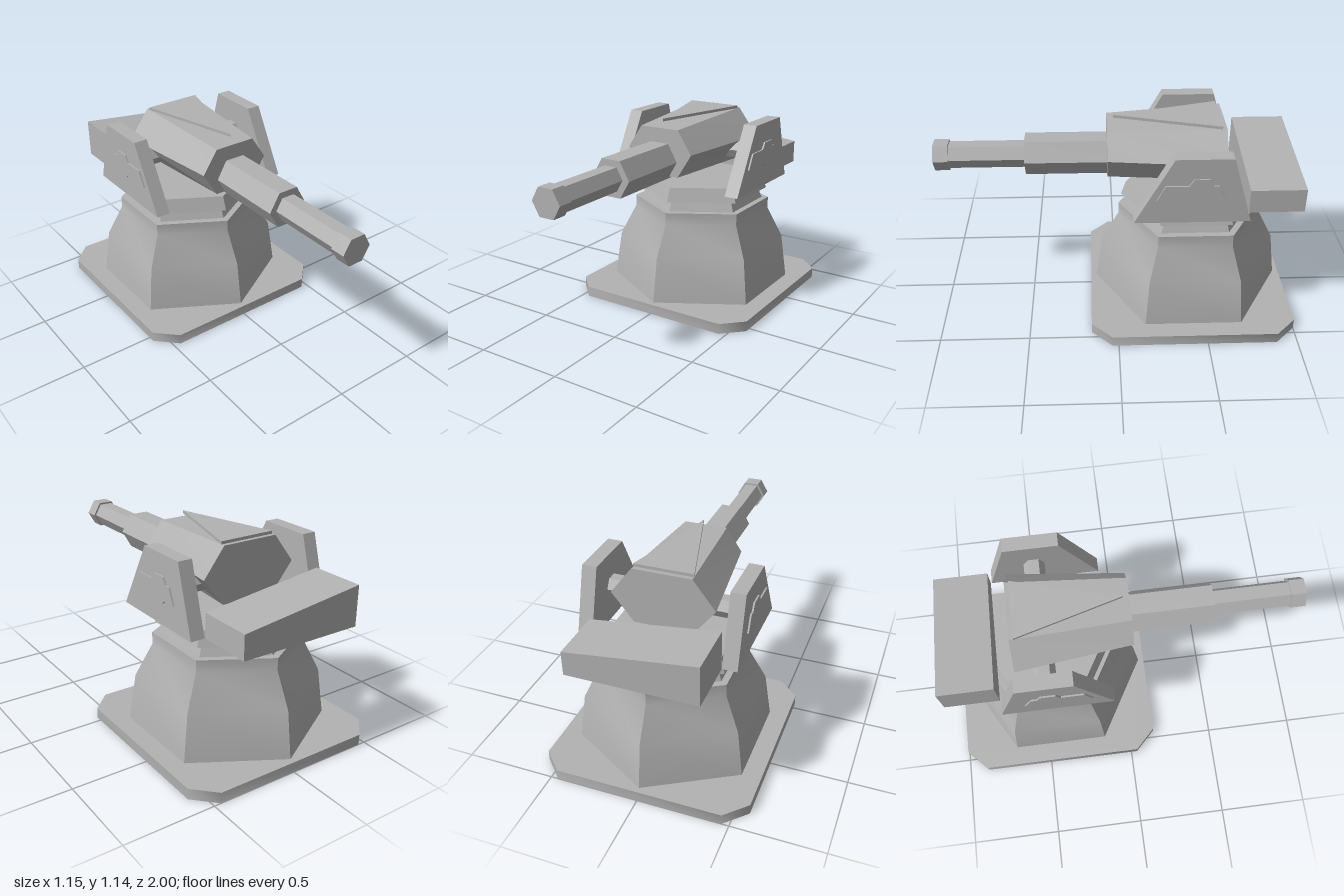
import * as THREE from 'three';
import { toCreasedNormals } from 'three/addons/utils/BufferGeometryUtils.js';

const CZ = -0.425; // depth of the turret's vertical axis
const AXIS_Y = 0.912; // height of barrel and axle

export function createModel() {
  const model = new THREE.Group();
  model.name = 'cannonTurret';
  const grey = new THREE.MeshStandardMaterial({ color: 0xb2b2b2 });
  grey.name = 'plain grey';

  function add(name, geometry, crease = 0.44) {
    const mesh = new THREE.Mesh(toCreasedNormals(geometry, crease), grey);
    mesh.name = name;
    model.add(mesh);
    return mesh;
  }

  function extrude(points, depth) {
    const shape = new THREE.Shape(points.map(([x, y]) => new THREE.Vector2(x, y)));
    return new THREE.ExtrudeGeometry(shape, { depth, bevelEnabled: false });
  }

  // Plate drawn in (z, y), filling x from outer - depth to outer
  const sidePlate = (points, outer, depth) =>
    extrude(points, depth).rotateY(-Math.PI / 2).translate(outer, 0, 0);

  // Plate drawn in (x, z), filling y from bottom to bottom + depth
  const flatPlate = (points, bottom, depth) =>
    extrude(points.map(([x, z]) => [x, -z]), depth).rotateX(-Math.PI / 2).translate(0, bottom, 0);

  // Foundation slab with cut corners
  const w = 0.575, c = 0.46;
  const slab = [[w, c], [c, w], [-c, w], [-w, c], [-w, -c], [-c, -w], [c, -w], [w, -c]];
  add('foundationSlab', flatPlate(slab.map(([x, z]) => [x, z + CZ]), 0, 0.06), 0.9);

  // Six-sided pedestal with stepped neck and collar
  const profile = [
    [0.543, 0.06], [0.505, 0.325], [0.41, 0.51], [0.41, 0.578], [0.37, 0.578],
    [0.345, 0.64], [0.395, 0.64], [0.367, 0.722], [0, 0.722],
  ].map(([r, y]) => new THREE.Vector2(r, y));
  add('pedestal', new THREE.LatheGeometry(profile, 6).translate(0, 0, CZ));

  // Side brackets with raised bearing covers
  const bracket = [[-0.08, 0.722], [-0.285, 1.095], [-0.585, 1.095], [-0.695, 0.722]];
  const cover = [
    [-0.195, 0.86], [-0.24, 0.945], [-0.36, 0.945], [-0.385, 0.983], [-0.465, 0.983], [-0.485, 0.945],
    [-0.515, 0.945], [-0.555, 0.86], [-0.475, 0.86], [-0.46, 0.842], [-0.39, 0.842], [-0.37, 0.86],
  ];
  for (const [side, bracketOuter, coverOuter] of [['left', 0.43, 0.439], ['right', -0.35, -0.43]]) {
    add(side + 'Bracket', sidePlate(bracket, bracketOuter, 0.08));
    add(side + 'BearingCover', sidePlate(cover, coverOuter, 0.009));
  }

  // Axle carrying the gun between the brackets
  add('axle', new THREE.CylinderGeometry(0.058, 0.058, 0.72, 6)
    .rotateZ(Math.PI / 2).translate(0, AXIS_Y, -0.432));

  // Rear counterweight with a sloping top
  add('counterweight', extrude([[-0.35, 0.724], [0.35, 0.724], [0.35, 0.858], [-0.35, 0.945]], 0.3)
    .translate(0, 0, -1), 0.1);

  // Gun housing: tapered hexagonal block lofted from rear to front
  const ring = (half, wide, top, mid, bottom, z) => [
    [half, top, z], [-half, top, z], [-wide, mid, z], [-half, bottom, z], [half, bottom, z], [wide, mid, z],
  ];
  const rear = ring(0.16, 0.28, 1.125, 0.967, 0.815, -0.585);
  const front = ring(0.12, 0.207, 1.095, 0.965, 0.826, 0.05);
  const corners = [];
  for (let i = 0; i < 6; i++) {
    const j = (i + 1) % 6;
    corners.push(rear[i], front[j], front[i], rear[i], rear[j], front[j]);
    if (i > 0 && i < 5) corners.push(front[0], front[i], front[i + 1], rear[0], rear[i + 1], rear[i]);
  }
  const housing = new THREE.BufferGeometry();
  housing.setAttribute('position', new THREE.Float32BufferAttribute(corners.flat(), 3));
  housing.computeVertexNormals();
  add('gunHousing', housing, 0.1);

  // Pointed cover on top of the housing
  add('topWedge', flatPlate([[-0.16, -0.56], [0.16, -0.56], [0, 0.015]], 1.124, 0.016));

  // Six-sided barrel sections along z
  const sections = [['barrelSleeve', 0.115, -0.1, 0.5], ['barrel', 0.074, 0.45, 0.95], ['muzzle', 0.086, 0.918, 1]];
  for (const [name, r, z0, z1] of sections) {
    add(name, new THREE.CylinderGeometry(r, r, z1 - z0, 6)
      .rotateY(Math.PI / 6).rotateX(Math.PI / 2).translate(0, AXIS_Y, (z0 + z1) / 2));
  }

  return model;
}
